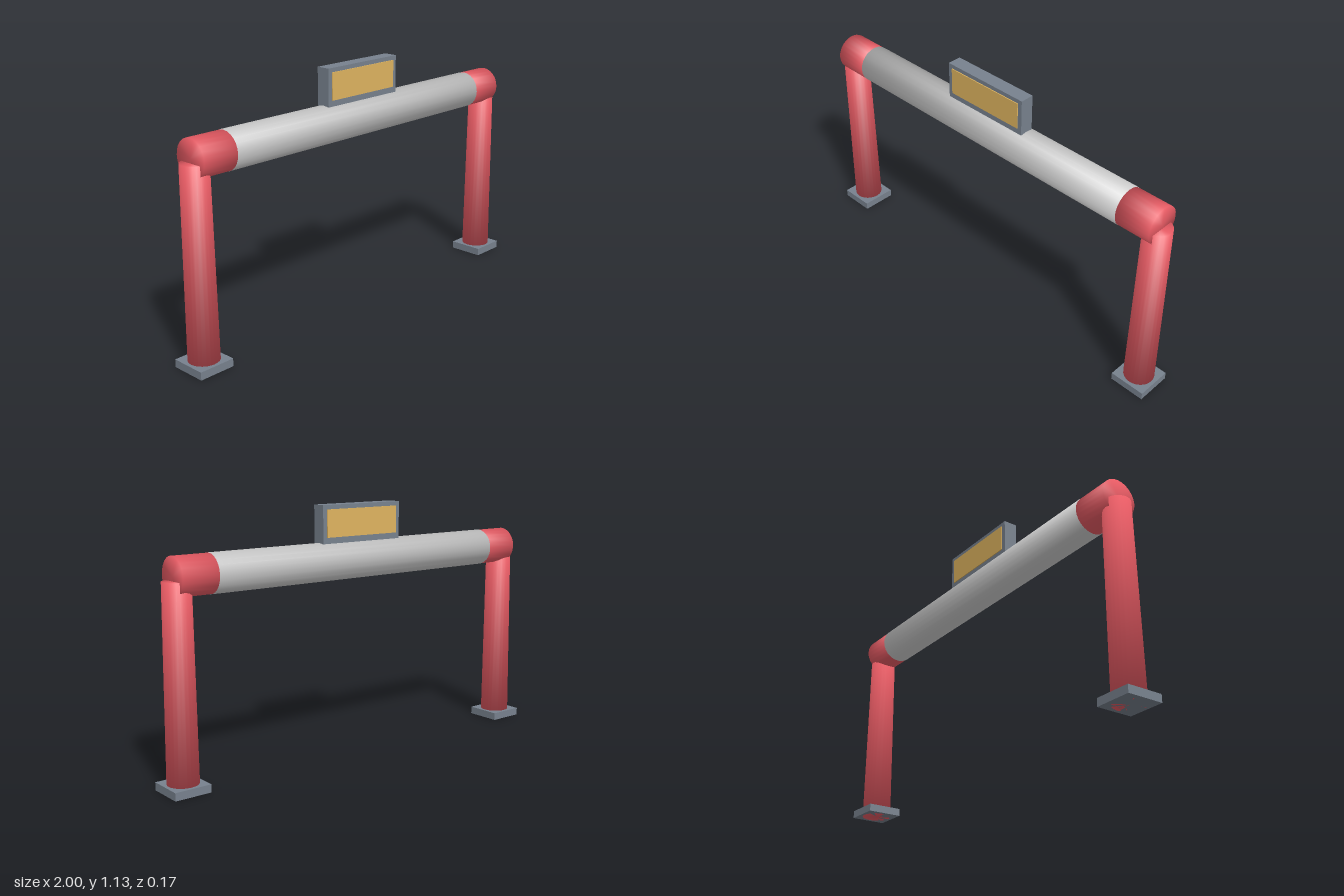
import * as THREE from 'three';
import { mergeVertices } from 'three/addons/utils/BufferGeometryUtils.js';

const red = new THREE.MeshStandardMaterial({ color: 0xe65a63 });
const slate = new THREE.MeshStandardMaterial({ color: 0x78828e });
const amber = new THREE.MeshStandardMaterial({ color: 0xe0b560 });
const grey = new THREE.MeshStandardMaterial({ color: 0xcccccc });

// Closed cylinder along y whose shading rolls softly over the rims
function softCylinder(rTop, rBottom, height) {
  let geo = new THREE.CylinderGeometry(rTop, rBottom, height, 24);
  geo.deleteAttribute('normal');
  geo.deleteAttribute('uv');
  geo = mergeVertices(geo);
  geo.computeVertexNormals();
  const p = geo.attributes.position;
  const n = new THREE.Vector3();
  for (let i = 0; i < p.count; i++) {
    const r = Math.hypot(p.getX(i), p.getZ(i));
    n.set(p.getX(i), 0.9 * r * Math.sign(p.getY(i)), p.getZ(i));
    if (r < 1e-4) n.set(0, Math.sign(p.getY(i)), 0);
    n.normalize();
    geo.attributes.normal.setXYZ(i, n.x, n.y, n.z);
  }
  return geo;
}

function add(parent, name, geometry, material, x, y, z) {
  const mesh = new THREE.Mesh(geometry, material);
  mesh.name = name;
  mesh.position.set(x, y, z);
  parent.add(mesh);
  return mesh;
}

export function createModel() {
  const model = new THREE.Group();
  model.name = 'archway';
  const beamY = 0.885;

  // Legs on square base plates, and the coloured ends of the crossbeam
  for (const [side, s] of [['left', 1], ['right', -1]]) {
    add(model, side + 'BasePlate', new THREE.BoxGeometry(0.166, 0.035, 0.166), slate, s * 0.917, 0.0175, 0);
    add(model, side + 'Leg', softCylinder(0.06, 0.068, 0.867), red, s * 0.917, 0.4335, 0);
    const end = add(model, side + 'BeamEnd', softCylinder(0.084, 0.084, 0.166), red, s * 0.851, beamY, 0);
    end.rotation.z = -s * Math.PI / 2;
  }

  // Crossbeam
  const beam = add(model, 'crossbeam', softCylinder(0.085, 0.085, 1.536), grey, 0, beamY, 0);
  beam.rotation.z = -Math.PI / 2;

  // Sign box with a raised panel on both faces
  add(model, 'signBox', new THREE.BoxGeometry(0.432, 0.168, 0.064), slate, 0, 1.05, 0);
  for (const [side, s] of [['front', 1], ['back', -1]]) {
    add(model, side + 'SignPanel', new THREE.BoxGeometry(0.39, 0.122, 0.008), amber, 0, 1.054, s * 0.032);
  }
  return model;
}
